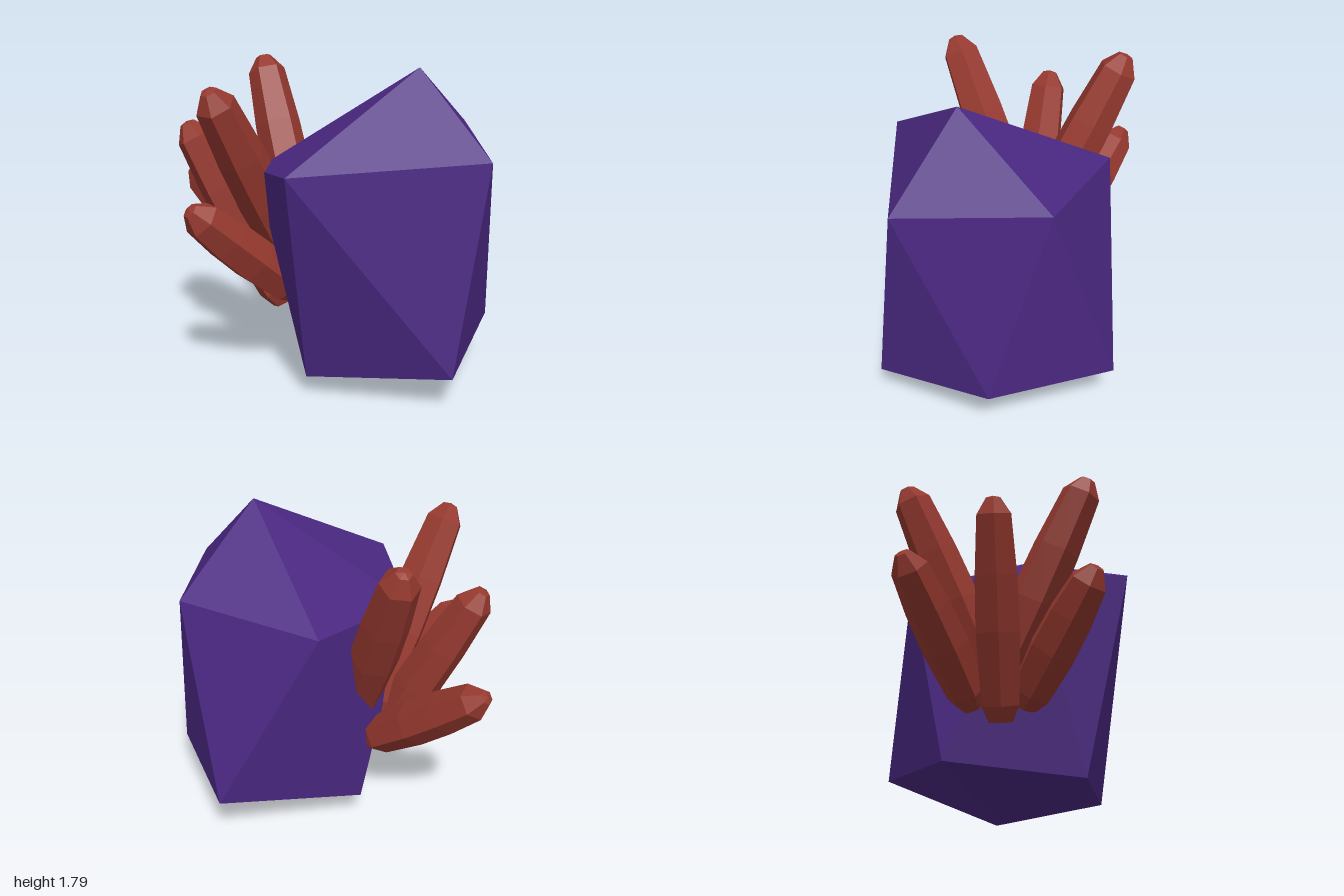
import * as THREE from 'three';

// Split faces so that every facet gets its own flat normal
function faceted(geometry) {
  const g = geometry.index ? geometry.toNonIndexed() : geometry;
  g.computeVertexNormals();
  return g;
}

// Twenty-sided boulder: top point, upper ring, lower ring, bottom point
function rockGeometry() {
  const top = [0.53, 1.79, -0.12];
  const upper = [[0.3, 1.32, 0.72], [0.99, 1.34, -0.12], [0.46, 1.4, -0.73], [-0.28, 1.32, -0.42], [-0.2, 1.22, 0.38]];
  const lower = [[0.95, 0.2, 0.13], [0.75, 0.31, -0.56], [0.09, 0.3, -0.85], [-0.32, 0.18, -0.13], [0.21, 0.12, 0.45]];
  const bottom = [0.37, 0, -0.25];
  const corners = [];
  for (let i = 0; i < 5; i++) {
    const j = (i + 1) % 5;
    corners.push(top, upper[i], upper[j]);
    corners.push(upper[i], lower[i], upper[j]);
    corners.push(lower[i], lower[j], upper[j]);
    corners.push(bottom, lower[j], lower[i]);
  }
  const g = new THREE.BufferGeometry();
  g.setAttribute('position', new THREE.Float32BufferAttribute(corners.flat(), 3));
  return faceted(g);
}

// Six-sided crystal with a blunt root, a slight belly and a bevelled tip
function crystalGeometry(length, r) {
  const profile = [
    [0, 0], [0.55 * r, 0], [0.86 * r, 0.09], [r, length * 0.4],
    [0.95 * r, length * 0.65], [0.78 * r, length - 0.1], [0.32 * r, length - 0.01], [0, length],
  ].map(([x, y]) => new THREE.Vector2(x, y));
  return faceted(new THREE.LatheGeometry(profile, 6));
}

export function createModel() {
  const model = new THREE.Group();
  const purple = new THREE.MeshStandardMaterial({ color: 0x4b2882 });
  purple.name = 'purple stone';
  const red = new THREE.MeshStandardMaterial({ color: 0x96392f });
  red.name = 'red crystal';

  const rock = new THREE.Mesh(rockGeometry(), purple);
  rock.name = 'rock';
  model.add(rock);

  // Crystal cluster fanning out of the rock: root, tip, radius, twist
  const cluster = new THREE.Group();
  cluster.name = 'crystalCluster';
  const crystals = [
    ['tallCrystal', [-0.12, 0.65, 0.05], [-0.64, 1.75, -0.19], 0.14, 0.3],
    ['frontCrystal', [-0.19, 0.38, 0.16], [-0.67, 1.44, 0.44], 0.135, 0.1],
    ['uprightCrystal', [-0.16, 0.6, 0.1], [-0.18, 1.71, 0.75], 0.14, 0.5],
    ['shortCrystal', [-0.06, 0.5, 0.22], [-0.27, 1.08, 0.83], 0.14, 0.2],
    ['sideCrystal', [-0.25, 0.48, 0.02], [-0.99, 1.06, 0.1], 0.13, 0.4],
  ];
  for (const [name, root, tip, radius, twist] of crystals) {
    const start = new THREE.Vector3(...root);
    const axis = new THREE.Vector3(...tip).sub(start);
    const crystal = new THREE.Mesh(crystalGeometry(axis.length(), radius), red);
    crystal.name = name;
    crystal.position.copy(start);
    crystal.quaternion.setFromUnitVectors(new THREE.Vector3(0, 1, 0), axis.normalize());
    crystal.rotateY(twist);
    cluster.add(crystal);
  }
  model.add(cluster);
  return model;
}
